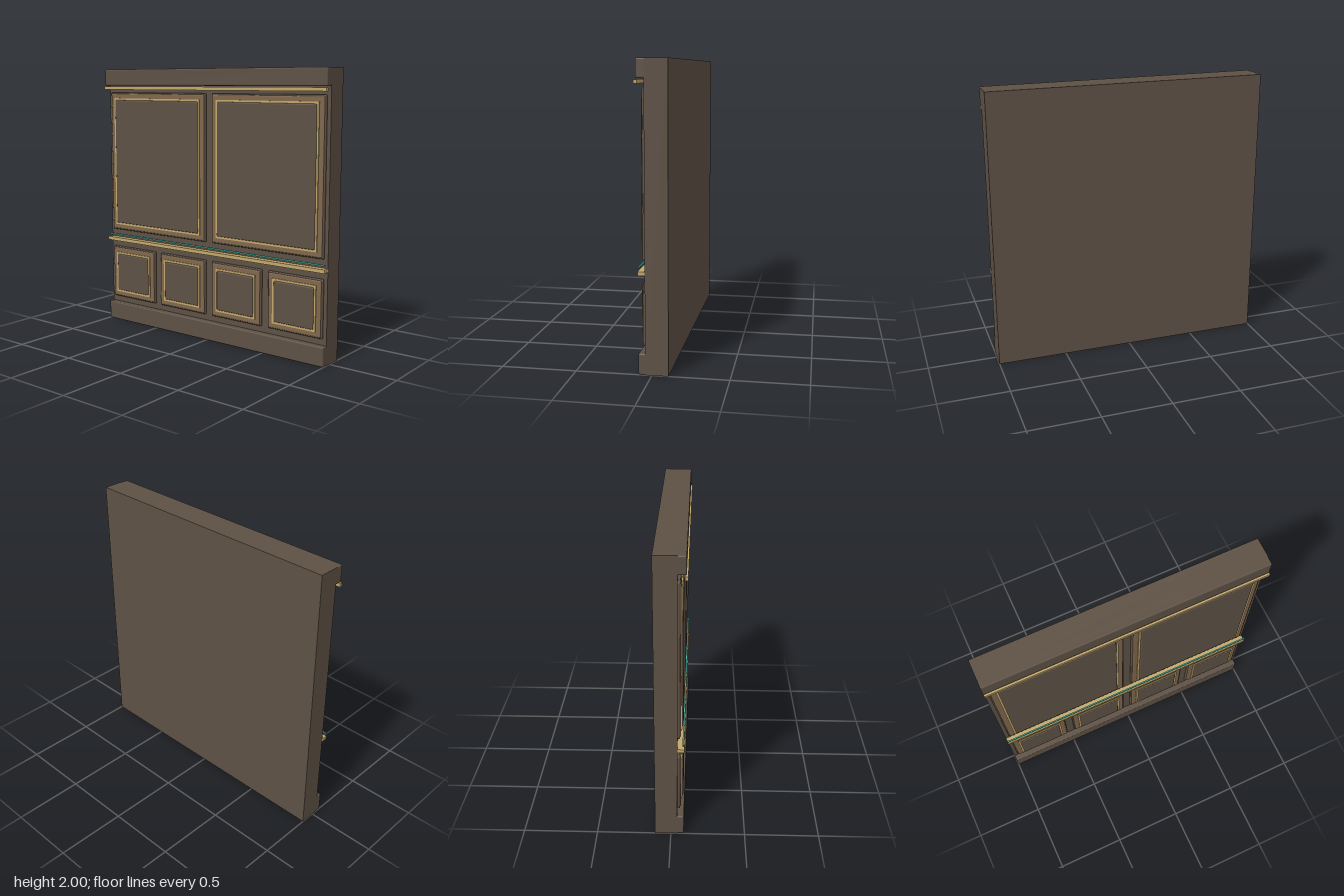
import * as THREE from 'three';
import { RoundedBoxGeometry } from 'three/addons/geometries/RoundedBoxGeometry.js';

const material = (name, color) => {
  const m = new THREE.MeshStandardMaterial({ color });
  m.name = name;
  return m;
};

export function createModel() {
  const model = new THREE.Group();
  model.name = 'wallPanel';
  const darkWood = material('darkWood', 0x5e5145);
  const lightWood = material('lightWood', 0x80674c);
  const gold = material('gold', 0xc4a86c);
  const teal = material('teal', 0x45b5a2);

  // Box given by its limits, optionally with softened edges
  const block = (parent, name, mat, [x0, x1], [y0, y1], [z0, z1], radius = 0) => {
    const size = [x1 - x0, y1 - y0, z1 - z0];
    const geometry = radius
      ? new RoundedBoxGeometry(...size, 2, radius)
      : new THREE.BoxGeometry(...size);
    const mesh = new THREE.Mesh(geometry, mat);
    mesh.name = name;
    mesh.position.set((x0 + x1) / 2, (y0 + y1) / 2, (z0 + z1) / 2);
    parent.add(mesh);
  };

  // Rectangular ring, for the gilt trim
  const ring = (parent, name, mat, [x0, x1], [y0, y1], [z0, z1], width) => {
    const rect = (path, d) => path
      .moveTo(x0 + d, y0 + d).lineTo(x1 - d, y0 + d)
      .lineTo(x1 - d, y1 - d).lineTo(x0 + d, y1 - d).closePath();
    const shape = rect(new THREE.Shape(), 0);
    shape.holes.push(rect(new THREE.Path(), width));
    const mesh = new THREE.Mesh(
      new THREE.ExtrudeGeometry(shape, { depth: z1 - z0, bevelEnabled: false }), mat);
    mesh.name = name;
    mesh.position.z = z0;
    parent.add(mesh);
  };

  // Wall slab with skirting and cornice
  const full = [-1, 1];
  block(model, 'wall', darkWood, full, [0, 2], [-0.107, 0.043]);
  block(model, 'skirting', darkWood, full, [0, 0.14], [0.02, 0.088], 0.01);
  block(model, 'cornice', darkWood, full, [1.877, 2], [0.02, 0.098], 0.01);

  // Horizontal rails
  block(model, 'corniceRail', gold, full, [1.845, 1.87], [0.086, 0.107]);
  block(model, 'chairRail', gold, full, [0.648, 0.674], [0.043, 0.09]);
  block(model, 'lightStrip', teal, full, [0.695, 0.705], [0.076, 0.086]);

  // Raised panel: moulded frame, gilt trim and field
  const panel = (name, [x0, x1], [y0, y1]) => {
    const group = new THREE.Group();
    group.name = name;
    const inset = (a, b, d) => [a + d, b - d];
    block(group, 'frameEdge', darkWood, [x0, x1], [y0, y1], [0.03, 0.06], 0.008);
    block(group, 'frame', lightWood, inset(x0, x1, 0.009), inset(y0, y1, 0.009), [0.035, 0.066], 0.008);
    ring(group, 'trim', gold, inset(x0, x1, 0.045), inset(y0, y1, 0.045), [0.05, 0.073], 0.02);
    block(group, 'field', darkWood, inset(x0, x1, 0.059), inset(y0, y1, 0.059), [0.045, 0.081], 0.01);
    model.add(group);
  };

  // Two tall panels above, four small ones below
  for (const s of [-1, 1]) {
    const side = s > 0 ? 'left' : 'right';
    const span = (a, b) => (s > 0 ? [a, b] : [-b, -a]);
    panel(side + 'UpperPanel', span(0.03, 0.972), [0.735, 1.823]);
    panel(side + 'LowerInnerPanel', span(0.03, 0.472), [0.185, 0.598]);
    panel(side + 'LowerOuterPanel', span(0.53, 0.972), [0.185, 0.598]);
  }
  return model;
}
